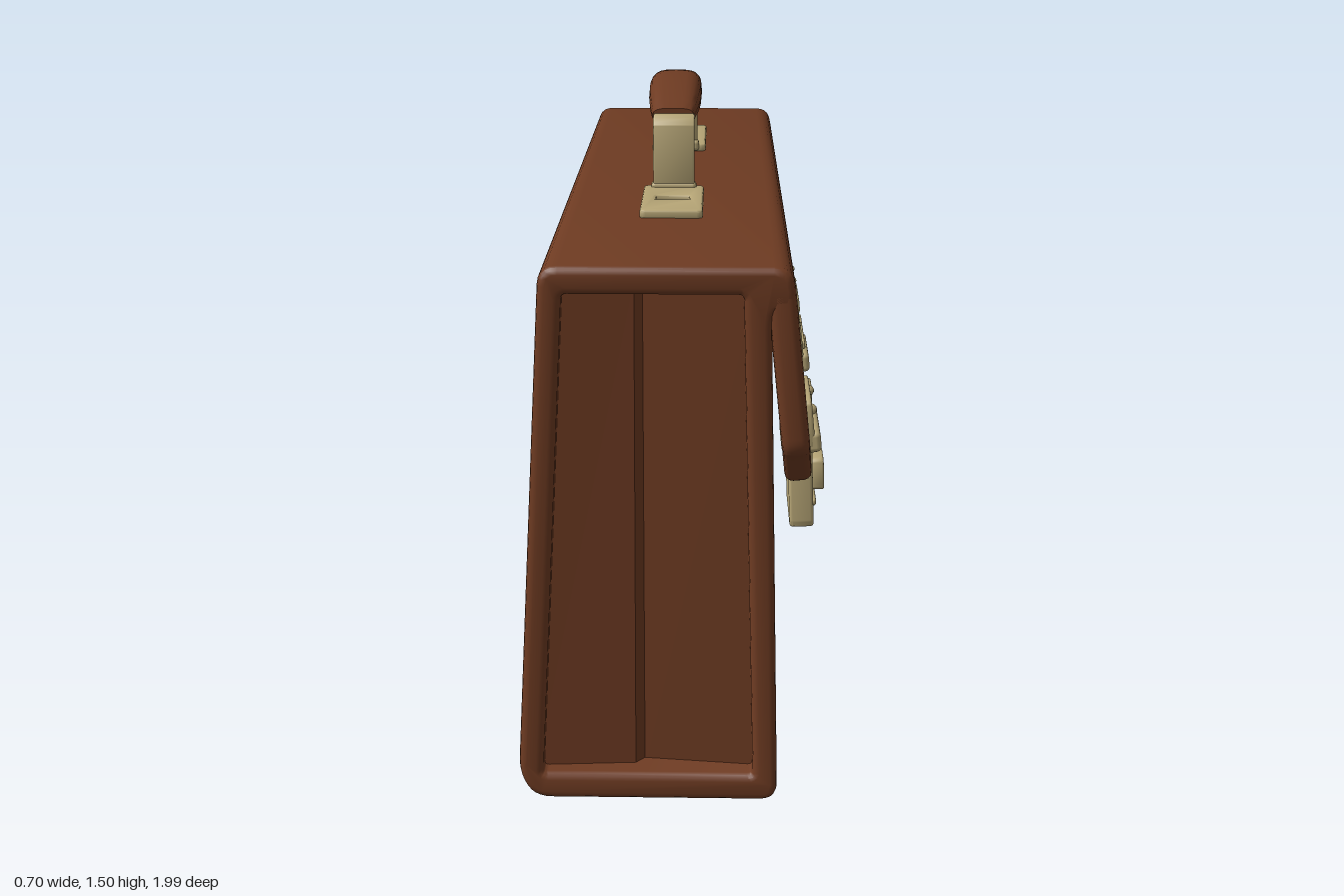
import * as THREE from 'three';
import { toCreasedNormals } from 'three/addons/utils/BufferGeometryUtils.js';
import { RoundedBoxGeometry } from 'three/addons/geometries/RoundedBoxGeometry.js';

const leather = new THREE.MeshStandardMaterial({ color: 0x6e3b22, side: THREE.DoubleSide });
leather.name = 'brown leather';
const brass = new THREE.MeshStandardMaterial({ color: 0xb6a576 });
brass.name = 'pale brass';

// Fill a Shape or Path with a polygon whose corners are rounded by r
function rounded(path, pts, r) {
  const v = pts.map(p => new THREE.Vector2(...p));
  v.forEach((p, i) => {
    const prev = v[(i + v.length - 1) % v.length], next = v[(i + 1) % v.length];
    const toward = q => q.clone().sub(p).setLength(Math.min(r, q.distanceTo(p) * 0.45)).add(p);
    const a = toward(prev), b = toward(next);
    if (i === 0) path.moveTo(a.x, a.y); else path.lineTo(a.x, a.y);
    path.quadraticCurveTo(p.x, p.y, b.x, b.y);
  });
  path.closePath();
  return path;
}

const rect = (w, h, x = 0, y = 0) =>
  [[x - w / 2, y - h / 2], [x + w / 2, y - h / 2], [x + w / 2, y + h / 2], [x - w / 2, y + h / 2]];

// Bevelled slab of a polygon, running from z = 0 to z = depth
function slab(pts, depth, { r = 0.01, bevel = 0.006, hole, holeR = 0.01 } = {}) {
  const shape = rounded(new THREE.Shape(), pts, r);
  if (hole) shape.holes.push(rounded(new THREE.Path(), hole, holeR));
  const g = new THREE.ExtrudeGeometry(shape, {
    depth: depth - 2 * bevel, bevelThickness: bevel, bevelSize: bevel,
    bevelOffset: -bevel, bevelSegments: 3, curveSegments: 5,
  });
  g.translate(0, 0, bevel);
  return toCreasedNormals(g, 0.6);
}

function add(parent, name, geometry, material, x = 0, y = 0, z = 0) {
  const m = new THREE.Mesh(geometry, material);
  m.name = name;
  m.position.set(x, y, z);
  parent.add(m);
  return m;
}

// Folded end panel, set back inside the rim
function gusset(side) {
  const bottom = [-0.32, -0.09, -0.07, 0.2], top = [-0.25, -0.085, -0.068, 0.17];
  const depth = [0.955, 0.94, 0.918, 0.945];
  const g = new THREE.PlaneGeometry(1, 1, 3, 1), p = g.attributes.position;
  for (let i = 0; i < 4; i++) {
    p.setXYZ(i, top[i], 1.21, side * depth[i]);
    p.setXYZ(i + 4, bottom[i], 0.04, side * depth[i]);
  }
  const flat = g.toNonIndexed();
  flat.computeVertexNormals();
  return flat;
}

// Padded grip: cross-section swells toward the middle
function grip() {
  const g = new THREE.CylinderGeometry(1, 1, 0.515, 24, 14);
  g.rotateX(Math.PI / 2);
  const p = g.attributes.position;
  const soft = v => Math.sign(v) * Math.pow(Math.abs(v), 0.55);
  for (let i = 0; i < p.count; i++) {
    const t = p.getZ(i) / 0.2575, swell = 1 - t * t;
    const low = 1.415 - 0.013 * swell, high = 1.455 + 0.05 * swell;
    const sy = soft(p.getY(i)), w = (0.05 + 0.017 * swell) * (1 - 0.08 * sy * sy);
    p.setXYZ(i, -0.02 + soft(p.getX(i)) * w, (low + high) / 2 + sy * (high - low) / 2, p.getZ(i));
  }
  g.computeVertexNormals();
  return toCreasedNormals(g, 0.8);
}

// Clasp on the +x face: hinged upper plate over a lock plate
function latch(z, centre) {
  const group = new THREE.Group();
  group.name = centre ? 'centreLatch' : 'sideLatch';
  group.position.set(0, centre ? 0.725 : 0.715, z);
  const out = g => g.rotateY(Math.PI / 2);

  const upper = new THREE.Group();
  upper.name = 'latchHasp';
  upper.position.set(0.298, 0, 0);
  upper.rotation.z = 0.1;
  add(upper, 'haspPlate', out(slab(rect(0.205, 0.132, 0, 0.066), 0.024, { r: 0.02 })), brass);
  add(upper, 'haspRoll', new RoundedBoxGeometry(0.04, 0.05, 0.205, 3, 0.012), brass, 0.018, 0.028, 0);
  if (centre) add(upper, 'haspRidge', new RoundedBoxGeometry(0.012, 0.02, 0.19, 2, 0.005), brass, 0.025, 0.075, 0);
  else for (const s of [-1, 1])
    add(upper, 'haspRivet', new THREE.SphereGeometry(0.013, 12, 8), brass, 0.022, 0.1, s * 0.068);
  group.add(upper);

  const lower = new THREE.Group();
  lower.name = 'latchLock';
  lower.position.set(0.256, 0, 0);
  lower.rotation.z = 0.04;
  const h = centre ? 0.228 : 0.186, c = centre ? 0.022 : 0.008;
  const outline = [[-0.1, 0.01], [-0.1, c - h], [c - 0.1, -h], [0.1 - c, -h], [0.1, c - h], [0.1, 0.01]];
  add(lower, 'lockPlate', out(slab(outline, 0.057, { r: 0.012, bevel: 0.008 })), brass);
  const slot = centre ? [0.024, 0.056] : [0.034, 0.046];
  add(lower, 'keyholeBoss', out(slab(rect(0.088, centre ? 0.1 : 0.082), 0.03,
    { r: 0.018, bevel: 0.005, hole: rect(...slot), holeR: 0.014 })), brass, 0.056, centre ? -0.107 : -0.075, 0);
  if (centre) add(lower, 'keySlit', new RoundedBoxGeometry(0.02, 0.05, 0.008, 2, 0.003), brass, 0.06, -0.107, 0);
  else add(lower, 'lockBar', new RoundedBoxGeometry(0.02, 0.018, 0.105, 3, 0.007), brass, 0.056, -0.142, 0);
  group.add(lower);
  return group;
}

// Metal mount at one end of the grip, side = +1 or -1 in z
function handleMount(side) {
  const group = new THREE.Group();
  group.name = 'handleMount';
  const mid = side > 0 ? 0.405 : 0.425, len = side > 0 ? 0.28 : 0.305;
  const plate = slab(rect(0.146, len), 0.022, { r: 0.014, hole: rect(0.078, 0.044), holeR: 0.004 });
  add(group, 'mountPlate', plate.rotateX(-Math.PI / 2), brass, -0.018, 1.247, side * mid);
  add(group, 'mountHinge', new RoundedBoxGeometry(0.11, 0.03, 0.034, 3, 0.01), brass, -0.018, 1.266, side * 0.278);
  // bent strap drawn in side profile, rising then turning in to the grip
  const strap = [[0.272, 1.255], [0.292, 1.255], [0.292, 1.42], [0.27, 1.442], [0.235, 1.442],
    [0.235, 1.424], [0.262, 1.424], [0.272, 1.41]].map(([a, y]) => [-side * a, y]);
  const g = slab(side > 0 ? strap.reverse() : strap, 0.1, { r: 0.008, bevel: 0.004 });
  add(group, 'mountStrap', g.rotateY(Math.PI / 2), brass, -0.068, 0, 0);
  return group;
}

export function createModel() {
  const model = new THREE.Group();
  model.name = 'briefcase';

  // Case wall: a leaning loop, open at both ends
  const wall = [[-0.318, 0.004], [0.232, 0.004], [0.203, 1.16], [0.256, 1.16], [0.247, 1.25], [-0.282, 1.25], [-0.353, 0.065]];
  const opening = [[-0.298, 0.068], [0.176, 0.068], [0.145, 1.19], [-0.235, 1.19]];
  add(model, 'caseWall', slab(wall, 1.99, { r: 0.04, bevel: 0.016, hole: opening, holeR: 0.012 }),
    leather, 0, 0, -0.995);
  for (const side of [1, -1]) add(model, 'endGusset', gusset(side), leather);

  // Front flap with cut lower corners
  const flap = [[-0.995, 0], [-0.995, -0.375], [-0.96, -0.4], [-0.88, -0.488],
    [0.88, -0.488], [0.96, -0.4], [0.995, -0.375], [0.995, 0]];
  const flapMesh = add(model, 'frontFlap', slab(flap, 0.06, { r: 0.03, bevel: 0.018 }).rotateY(Math.PI / 2),
    leather, 0.191, 1.215, 0);
  flapMesh.rotation.z = 0.105;

  // Clasps
  for (const z of [0.56, -0.01, -0.585]) model.add(latch(z, z === -0.01));

  // Carrying handle
  add(model, 'handleGrip', grip(), leather, 0, 0, -0.005);
  for (const side of [1, -1]) model.add(handleMount(side));
  return model;
}
